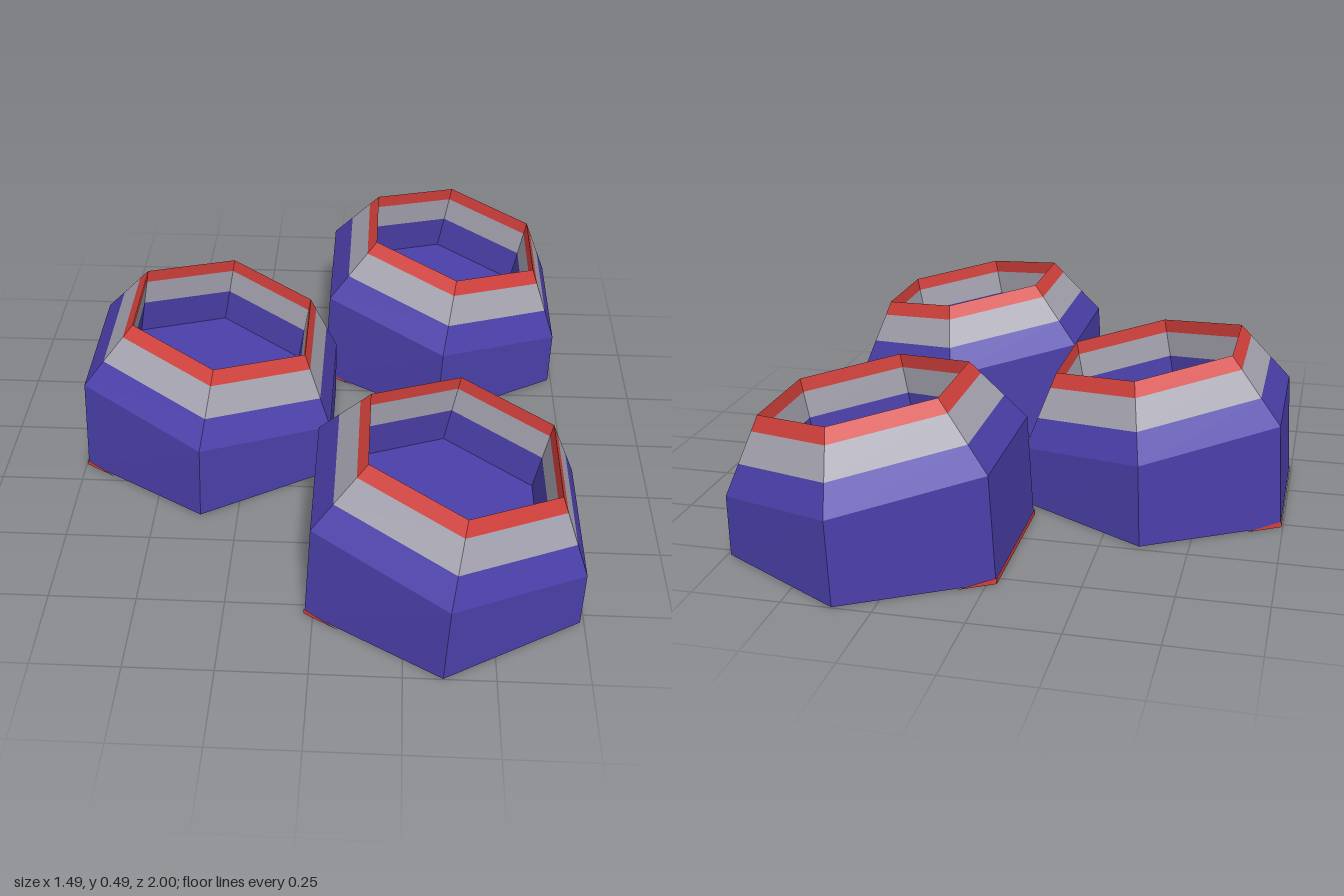
import * as THREE from 'three';

const blue = new THREE.MeshStandardMaterial({ color: 0x4a3fa9 });
blue.name = 'blue';
const grey = new THREE.MeshStandardMaterial({ color: 0xa4a2ae });
grey.name = 'grey';
const red = new THREE.MeshStandardMaterial({ color: 0xd2403b });
red.name = 'red';

const SLOPE = Math.tan(THREE.MathUtils.degToRad(10));

// hexagonal cross-section with corners on z, sloping down towards +x
function ring(r, cx, cy, slope = SLOPE) {
  const kx = slope ? 0.985 : 1;
  return Array.from({ length: 6 }, (_, i) => {
    const a = (i * Math.PI) / 3;
    const dx = Math.sin(a) * r * kx;
    return new THREE.Vector3(cx + dx, cy - slope * dx, Math.cos(a) * r);
  });
}

const mix = (a, b, t) => a.map((p, i) => p.clone().lerp(b[i], t));

// flat-faced mesh from a list of triangles
function facets(name, tris, material) {
  const g = new THREE.BufferGeometry().setFromPoints(tris);
  g.computeVertexNormals();
  const m = new THREE.Mesh(g, material);
  m.name = name;
  return m;
}

const quad = (a, b, c, d) => [a, b, c, a, c, d];

// wall joining consecutive rings
function wall(name, rings, material) {
  const tris = [];
  for (let k = 0; k + 1 < rings.length; k++) {
    const lo = rings[k], hi = rings[k + 1];
    for (let i = 0; i < 6; i++) {
      const j = (i + 1) % 6;
      tris.push(...quad(lo[i], lo[j], hi[j], hi[i]));
    }
  }
  return facets(name, tris, material);
}

function cap(name, r, up, material) {
  const tris = [];
  for (let i = 1; i < 5; i++) tris.push(r[0], r[up ? i : i + 1], r[up ? i + 1 : i]);
  return facets(name, tris, material);
}

// thin red wedge under the raised edge
function baseWedge() {
  const v = (x, y, z) => new THREE.Vector3(x, y, z);
  const [a, b, c] = [1, -1].map((s) => 0).length && [
    [v(-0.386, 0, 0.222), v(-0.386, 0, -0.222)],
    [v(-0.386, 0.018, 0.222), v(-0.386, 0.018, -0.222)],
    [v(-0.29, 0, 0.278), v(-0.29, 0, -0.278)],
  ];
  return facets('baseWedge', [
    ...quad(a[1], a[0], b[0], b[1]),
    ...quad(a[0], a[1], c[1], c[0]),
    a[0], c[0], b[0],
    a[1], b[1], c[1],
  ], red);
}

function createPot() {
  const pot = new THREE.Group();
  // outside rings
  const base = ring(0.44, -0.002, 0.002, 0);
  const shoulder = ring(0.437, 0.007, 0.245);
  const rim = ring(0.302, 0.0425, 0.445);
  const low = mix(shoulder, rim, 0.4);
  const high = mix(shoulder, rim, 0.8);
  // inside rings follow the tilted axis
  const floor = ring(0.3, 0.002, 0.218);
  const innerHigh = mix(rim, floor, 0.18);
  const innerLow = mix(rim, floor, 0.53);

  pot.add(
    cap('underside', base, false, blue),
    wall('body', [base, shoulder, low], blue),
    wall('greyBand', [low, high], grey),
    wall('rim', [high, rim, innerHigh], red),
    wall('innerGreyBand', [innerHigh, innerLow], grey),
    wall('innerWall', [innerLow, floor], blue),
    cap('innerFloor', floor, true, blue),
    baseWedge(),
  );
  return pot;
}

export function createModel() {
  const model = new THREE.Group();
  model.name = 'hexagonalPots';
  const spots = [['backPot', 0.36, -0.56], ['frontPot', 0.36, 0.56], ['sidePot', -0.36, -0.045]];
  for (const [name, x, z] of spots) {
    const pot = createPot();
    pot.name = name;
    pot.position.set(x, 0, z);
    model.add(pot);
  }
  return model;
}
